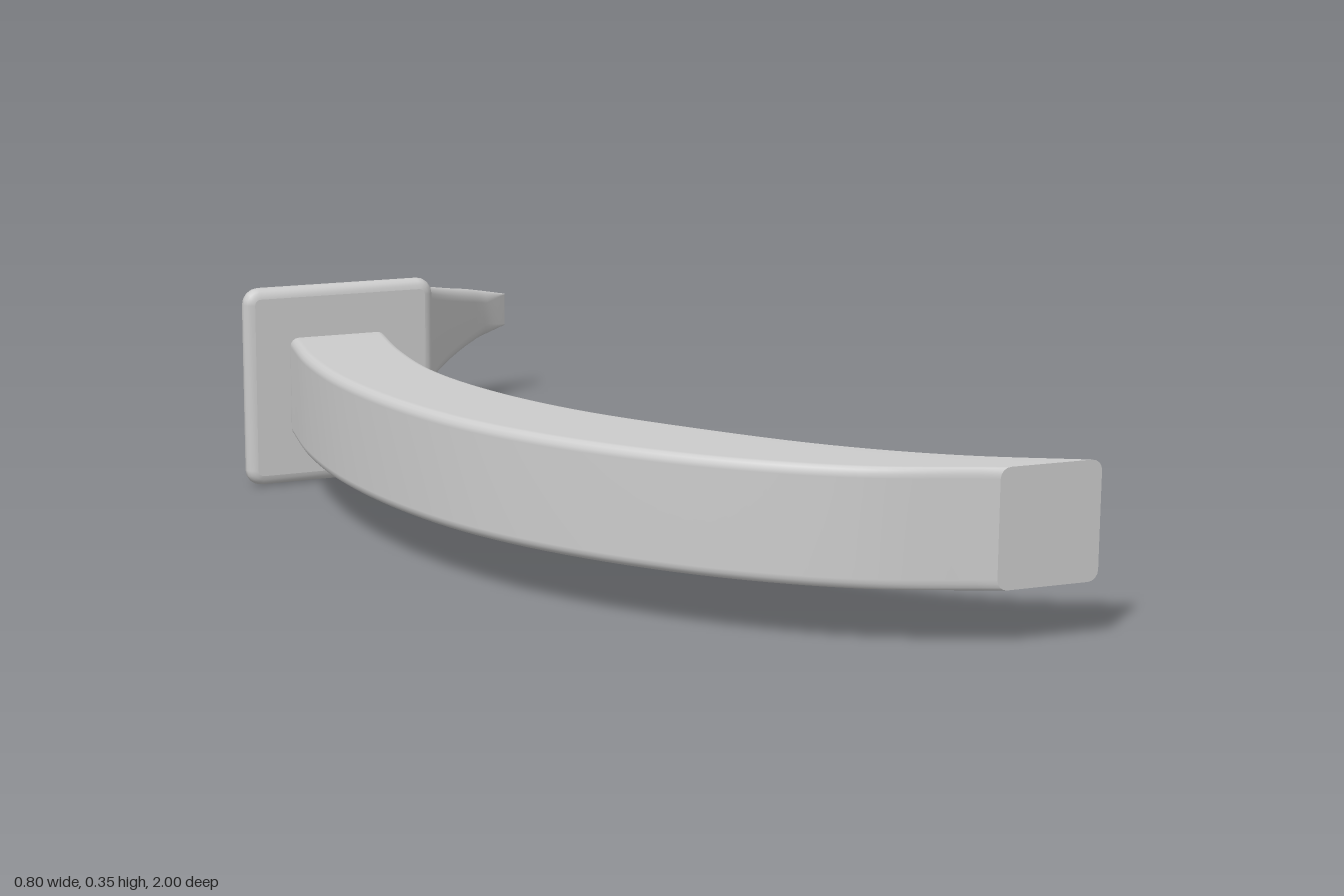
import * as THREE from 'three';
import { mergeGeometries } from 'three/addons/utils/BufferGeometryUtils.js';

const MID_Y = 0.177;
const STEPS = 48;
const CORNER = 5; // points per rounded corner

// Rounded rectangle between an outer and an inner edge point, shrunk by inset and shifted along z.
function ring({ o, i, half }, radius, inset = 0, dz = 0) {
  const w = o.distanceTo(i) / 2;
  const u = i.clone().sub(o).normalize();
  const c = o.clone().add(i).multiplyScalar(0.5);
  const hw = Math.max(w - inset, 0.001), hh = Math.max(half - inset, 0.001);
  const r = Math.min(Math.max(radius - inset, 0.003), hw * 0.98, hh * 0.98);
  const pts = [];
  for (let q = 0; q < 4; q++) {
    const sx = q === 0 || q === 3 ? 1 : -1, sy = q < 2 ? 1 : -1;
    for (let k = 0; k < CORNER; k++) {
      const a = (q + k / (CORNER - 1)) * Math.PI / 2;
      const s = sx * (hw - r) + r * Math.cos(a);
      pts.push([c.x + u.x * s, MID_Y + sy * (hh - r) + r * Math.sin(a), c.y + u.y * s + dz]);
    }
  }
  return pts;
}

// Lofts rows of [outerX, outerZ, innerX, innerZ, halfHeight], running towards +z.
function loft(rows, radius, startRound, endRound) {
  const curve = (f) => new THREE.CatmullRomCurve3(rows.map(f), false, 'centripetal');
  const outer = curve((r) => new THREE.Vector3(r[0], r[4], r[1]));
  const inner = curve((r) => new THREE.Vector3(r[2], r[4], r[3]));
  const sections = [];
  for (let n = 0; n <= STEPS; n++) {
    const a = outer.getPoint(n / STEPS), b = inner.getPoint(n / STEPS);
    sections.push({ o: new THREE.Vector2(a.x, a.z), i: new THREE.Vector2(b.x, b.z), half: (a.y + b.y) / 2 });
  }
  const rings = sections.map((s) => ring(s, radius));
  // rounded rims in front of the end caps
  for (let k = 1; k <= 4; k++) {
    const a = k / 4 * Math.PI / 2;
    const rim = (s, r, sign) => ring(s, radius, r * (1 - Math.cos(a)), sign * r * Math.sin(a));
    if (startRound) rings.unshift(rim(sections[0], startRound, -1));
    if (endRound) rings.push(rim(sections[STEPS], endRound, 1));
  }
  const n = rings[0].length, index = [];
  for (let i = 0; i < rings.length - 1; i++) {
    for (let j = 0; j < n; j++) {
      const a = i * n + j, b = i * n + (j + 1) % n;
      index.push(a, b, b + n, a, b + n, a + n);
    }
  }
  const cap = (pts, flip) => {
    const tri = [];
    for (let j = 1; j < n - 1; j++) tri.push(0, flip ? j + 1 : j, flip ? j : j + 1);
    return surface(pts, tri);
  };
  return mergeGeometries([surface(rings.flat(), index), cap(rings[0], true), cap(rings.at(-1), false)]);
}

function surface(points, index) {
  const g = new THREE.BufferGeometry();
  g.setAttribute('position', new THREE.Float32BufferAttribute(points.flat(), 3));
  g.setIndex(index);
  g.computeVertexNormals();
  return g;
}

export function createModel() {
  const group = new THREE.Group();
  const material = new THREE.MeshStandardMaterial({ color: 0xcccccc });
  const add = (name, geometry) => {
    const mesh = new THREE.Mesh(geometry, material);
    mesh.name = name;
    group.add(mesh);
  };

  // curved spike, from the tip to its square base
  add('spike', loft([
    [0.335, -1.0, 0.337, -0.997, 0.032],
    [0.22, -0.972, 0.28, -0.96, 0.05],
    [0.09, -0.918, 0.205, -0.895, 0.067],
    [-0.05, -0.835, 0.125, -0.81, 0.088],
    [-0.17, -0.73, 0.055, -0.71, 0.112],
    [-0.27, -0.61, 0.0, -0.6, 0.135],
    [-0.34, -0.51, -0.033, -0.5, 0.156],
    [-0.4, -0.41, -0.052, -0.41, 0.173],
  ], 0.028, 0, 0.018));

  // crescent arm, from the spike's base to the flat cut end
  const H = 0.0875;
  add('arm', loft([
    [-0.325, -0.375, -0.15, -0.375, H],
    [-0.358, -0.2, -0.183, -0.2, H],
    [-0.373, 0.0, -0.2, 0.0, H],
    [-0.356, 0.22, -0.178, 0.19, H],
    [-0.31, 0.41, -0.12, 0.38, H],
    [-0.22, 0.6, -0.02, 0.57, H],
    [-0.09, 0.775, 0.11, 0.765, H],
    [0.06, 0.905, 0.24, 0.895, H],
    [0.235, 0.99, 0.395, 0.998, H],
  ], 0.016, 0.015, 0));

  return group;
}
